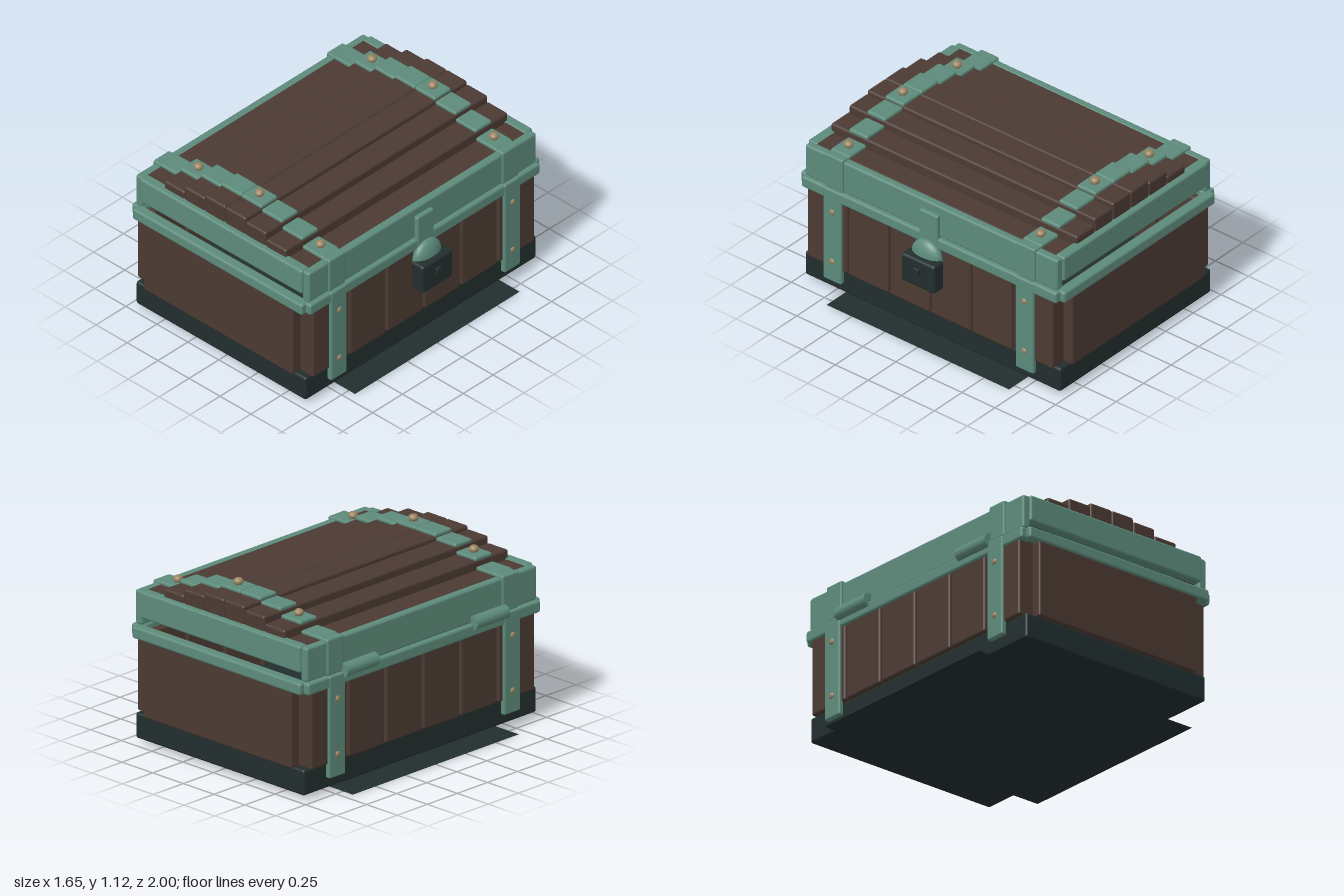
import * as THREE from 'three';
import { RoundedBoxGeometry } from 'three/addons/geometries/RoundedBoxGeometry.js';

export function createModel() {
  const chest = new THREE.Group();
  chest.name = 'treasureChest';

  const material = (name, color, side = THREE.FrontSide) => {
    const m = new THREE.MeshStandardMaterial({ color, side });
    m.name = name;
    return m;
  };
  const wood = material('darkWood', 0x4c3a33);
  const metal = material('greenMetal', 0x5d8b7b);
  const iron = material('darkIron', 0x222e2e, THREE.DoubleSide);
  const brass = material('brass', 0x9a8360);

  const add = (name, geometry, mat, x = 0, y = 0, z = 0) => {
    const mesh = new THREE.Mesh(geometry, mat);
    mesh.name = name;
    mesh.position.set(x, y, z);
    chest.add(mesh);
    return mesh;
  };
  // Rounded box given by its extents on each axis
  const box = (name, mat, [x0, x1], [y0, y1], [z0, z1], r = 0.012) => {
    const w = x1 - x0, h = y1 - y0, d = z1 - z0;
    const radius = Math.min(r, w * 0.45, h * 0.45, d * 0.45);
    return add(name, new RoundedBoxGeometry(w, h, d, 2, radius), mat,
      (x0 + x1) / 2, (y0 + y1) / 2, (z0 + z1) / 2);
  };
  const boltGeometry = new THREE.SphereGeometry(1, 16, 10);
  const bolt = (name, x, y, z, sx, sy, sz) =>
    add(name, boltGeometry, brass, x, y, z).scale.set(sx, sy, sz);

  const cx = -0.0175; // middle of the chest body across x
  const across = (s, a, b) => (s > 0 ? [cx + a, cx + b] : [cx - b, cx - a]);
  const along = (s, a, b) => (s > 0 ? [a, b] : [-b, -a]);
  const bandZ = 0.727;

  // Ground plate, base and inner floor
  const plate = add('groundPlate', new THREE.PlaneGeometry(1.63, 1.38), iron, -0.015, 0, 0);
  plate.rotation.x = -Math.PI / 2;
  box('base', iron, [-0.703, 0.668], [0.03, 0.19], [-0.967, 0.967], 0.015);
  box('floor', iron, [-0.64, 0.605], [0.15, 0.24], [-0.91, 0.91]);

  for (const s of [1, -1]) {
    // Body walls: solid end panels and gapped side planks
    box('endPanel', wood, [-0.622, 0.585], [0.185, 0.7], along(s, 0.91, 0.99));
    for (let i = 0; i < 6; i++) {
      const z = (i - 2.5) * 0.3115;
      box('sidePlank', wood, across(s, 0.6, 0.71), [0.185, 0.7], [z - 0.15, z + 0.15], 0.014);
    }

    // Rim around the mouth of the body
    box('endRim', metal, [-0.703, 0.668], [0.66, 0.735], along(s, 0.93, 1), 0.015);
    box('sideRim', metal, across(s, 0.645, 0.722), [0.66, 0.735], [-0.965, 0.965], 0.015);

    // Lid frame
    box('lidEndFrame', metal, [-0.672, 0.637], [0.785, 0.952], along(s, 0.9, 0.97), 0.015);
    box('lidSideFrame', metal, across(s, 0.645, 0.7), [0.735, 0.948], [-0.955, 0.955], 0.015);

    for (const t of [1, -1]) {
      // Straps on the sides, with bolts
      const zs = [t * bandZ - 0.068, t * bandZ + 0.068];
      box('bodyStrap', metal, across(s, 0.69, 0.727), [0.1, 0.735], zs);
      box('lidStrap', metal, across(s, 0.64, 0.712), [0.735, 0.962], zs);
      for (const y of [0.24, 0.585])
        bolt('strapBolt', cx + s * 0.724, y, t * bandZ, 0.013, 0.02, 0.02);
    }
  }

  // Lid: stepped planks with band segments above and below
  const bandTops = [0.967, 1.02, 1.062, 1.083, 1.083, 1.062, 1.02, 0.967];
  bandTops.forEach((top, i) => {
    const x = cx + (i - 3.5) * 0.164;
    const xs = [x - 0.082, x + 0.082];
    const under = top - 0.182;
    box('lidPlank', wood, xs, [under, top - 0.02], [-0.932, 0.932], 0.014);
    for (const t of [1, -1]) {
      const zs = [t * bandZ - 0.07, t * bandZ + 0.07];
      box('upperBand', metal, xs, [top - 0.028, top], zs);
      box('lowerBand', metal, xs, [under - 0.028, under], zs);
      if (i % 3 === 1) {
        bolt('lidBolt', x, top + 0.017, t * bandZ, 0.03, 0.024, 0.03);
        bolt('lidBoltEnd', x, under - 0.03, t * bandZ, 0.03, 0.022, 0.03);
      }
    }
  });

  // Hinges on the left-hand edge in x
  for (const t of [1, -1]) {
    const barrel = add('hinge', new THREE.CylinderGeometry(0.042, 0.042, 0.27, 20), metal,
      -0.733, 0.743, t * 0.54);
    barrel.rotation.x = Math.PI / 2;
  }

  // Hasp, shackle dome and padlock
  box('hasp', metal, [0.665, 0.71], [0.55, 0.893], [-0.07, 0.07]);
  const dome = add('shackle', new THREE.SphereGeometry(1, 24, 16), metal, 0.715, 0.6, 0);
  dome.scale.set(0.053, 0.108, 0.11);
  box('padlock', iron, [0.712, 0.805], [0.42, 0.61], [-0.126, 0.126], 0.016);
  box('keyhole', iron, [0.8, 0.822], [0.5, 0.556], [-0.02, 0.02], 0.005);

  return chest;
}
